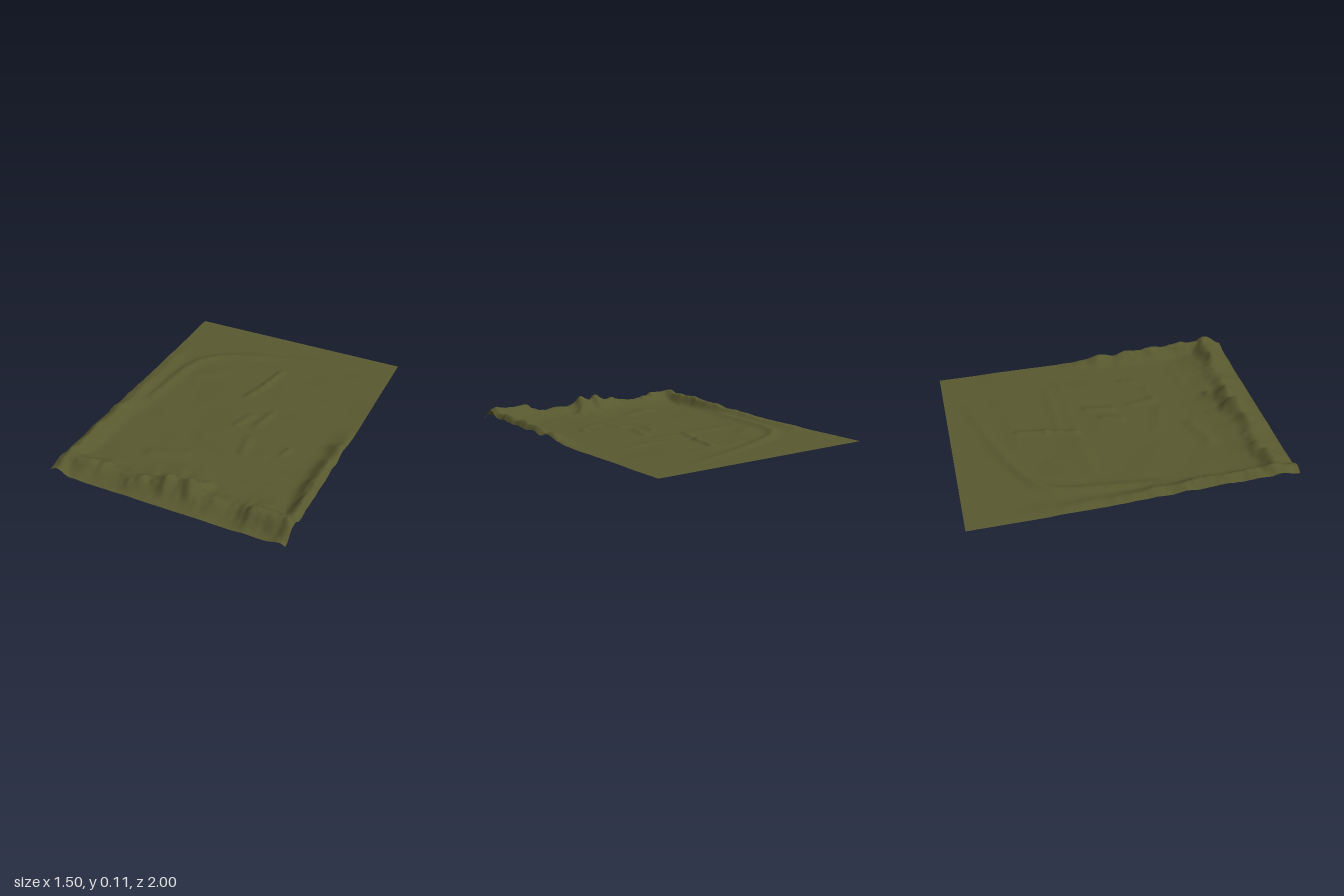
import * as THREE from 'three';

const W = 1.5, D = 2;

// Smooth seeded value noise in the range -1..1
function hash(i, j) {
  const s = Math.sin(i * 127.1 + j * 311.7) * 43758.5453;
  return (s - Math.floor(s)) * 2 - 1;
}
function noise(x, z) {
  const i = Math.floor(x), j = Math.floor(z);
  const u = THREE.MathUtils.smoothstep(x - i, 0, 1), v = THREE.MathUtils.smoothstep(z - j, 0, 1);
  const a = THREE.MathUtils.lerp(hash(i, j), hash(i + 1, j), u);
  const b = THREE.MathUtils.lerp(hash(i, j + 1), hash(i + 1, j + 1), u);
  return THREE.MathUtils.lerp(a, b, v);
}

// Evenly spaced samples read with smooth interpolation, t in 0..1
function sample(list, t) {
  const f = THREE.MathUtils.clamp(t, 0, 1) * (list.length - 1);
  const i = Math.min(Math.floor(f), list.length - 2);
  return THREE.MathUtils.lerp(list[i], list[i + 1], THREE.MathUtils.smoothstep(f - i, 0, 1));
}

const bell = (d, w) => Math.exp(-(d * d) / (w * w));

// Crest heights of the bunched front hem, from x = -0.75 to 0.75
const frontCrest = [
  .03, .066, .065, .064, .066, .054, .054, .042, .039, .042, .055, .066, .058, .072, .09, .07,
  .086, .088, .052, .04, .05, .045, .038, .042, .06, .088, .085, .082, .08, .072, .06,
];
// Crest heights of the side hems, from z = -0.4 to 1
const leftCrest = [.014, .015, .015, .022, .03, .04, .032, .048, .05, .06, .062, .068, .065, .06, .04];
const rightCrest = [0, 0, 0, .006, .018, .05, .028, .058, .05, .068, .055, .066, .06, .07, .02];

// Long fold that runs up the left side and curls across the back
const fold = new THREE.CatmullRomCurve3([
  [-.64, .35], [-.61, .1], [-.58, -.15], [-.55, -.38], [-.5, -.5], [-.38, -.6],
  [-.2, -.68], [0, -.75], [.25, -.82], [.5, -.88],
].map(([x, z]) => new THREE.Vector3(x, 0, z))).getPoints(36);

// Small creases: x1, z1, x2, z2, height, width
const creases = [
  [.05, -.57, .02, -.4, .011, .022], [.02, -.4, -.03, -.22, .012, .024],
  [.02, -.31, .44, -.31, .004, .03], [-.4, -.2, .25, -.22, .004, .05],
  [.19, -.1, .16, .06, .010, .025], [.08, -.02, .04, .1, .008, .025],
  [.17, .2, .19, .34, .008, .03], [.44, .2, .42, .27, .008, .02],
  [-.3, .58, -.12, .52, .010, .04], [-.1, .3, .1, .38, .004, .04],
  [.2, .36, .32, .33, .005, .03], [.35, .6, .5, .58, .004, .04],
  [-.46, -.3, -.3, -.42, .005, .04], [.15, .72, .08, .84, .02, .03],
  [-.02, .78, -.04, .9, .02, .03], [-.1, -.6, .2, -.62, .003, .04],
];

function segmentDistance(x, z, ax, az, bx, bz) {
  const dx = bx - ax, dz = bz - az;
  const t = THREE.MathUtils.clamp(((x - ax) * dx + (z - az) * dz) / (dx * dx + dz * dz), 0, 1);
  return [Math.hypot(x - ax - dx * t, z - az - dz * t), t];
}

function foldHeight(x, z) {
  let best = 9, along = 0;
  for (let i = 0; i < fold.length - 1; i++) {
    const a = fold[i], b = fold[i + 1];
    const [d, t] = segmentDistance(x, z, a.x, a.z, b.x, b.z);
    if (d < best) { best = d; along = (i + t) / (fold.length - 1); }
  }
  return sample([0, .013, .015, .016, .016, .015, .013, .009, .005, 0], along) * bell(best, .035);
}

function height(x, z) {
  // Front hem: gentle inner slope, steep crumpled outer slope
  const crestZ = .86 - .04 * bell(x - .05, .16) + .02 * noise(x * 12, 3);
  const dz = z - crestZ;
  const front = sample(frontCrest, (x + .75) / W) * (dz > 0 ? bell(dz, .085) : .6 * bell(dz, .05) + .4 * bell(dz, .15));

  // Side hems
  const t = (z + .4) / 1.4;
  const dl = x + .69 - .015 * noise(z * 11, 9);
  const left = sample(leftCrest, t) * bell(dl, dl > 0 ? .045 : .07) * THREE.MathUtils.smoothstep(z, -.75, -.35);
  const dr = x - .725 - .012 * noise(z * 13, 17);
  const right = sample(rightCrest, t) * bell(dr, dr > 0 ? .035 : .06);

  let y = Math.pow(front ** 3 + left ** 3 + right ** 3, 1 / 3) + foldHeight(x, z);
  for (const [ax, az, bx, bz, h, w] of creases) y += h * bell(segmentDistance(x, z, ax, az, bx, bz)[0], w);

  // Crumples, strongest near the hems, and a faint waviness everywhere
  const rough = Math.min(y / .06, 1);
  y += rough * (.008 * noise(x * 17, z * 17) + .005 * noise(x * 34 + 5, z * 34));
  y += .0025 * noise(x * 5 + 2, z * 5) * THREE.MathUtils.smoothstep(z, -1, -.6);
  return Math.max(y + .008, 0);
}

export function createModel() {
  const group = new THREE.Group();
  group.name = 'blanket';
  const olive = new THREE.MeshStandardMaterial({ color: 0x58582f, side: THREE.DoubleSide });
  olive.name = 'olive cloth';

  // One sheet, raised by the rule above and lowered to rest on the ground
  const sheet = new THREE.PlaneGeometry(W, D, 150, 200).rotateX(-Math.PI / 2);
  const p = sheet.attributes.position;
  for (let i = 0; i < p.count; i++) p.setY(i, height(p.getX(i), p.getZ(i)));
  sheet.computeBoundingBox();
  sheet.translate(0, -sheet.boundingBox.min.y, 0);
  sheet.computeVertexNormals();

  const mesh = new THREE.Mesh(sheet, olive);
  mesh.name = 'crumpledSheet';
  group.add(mesh);
  return group;
}
